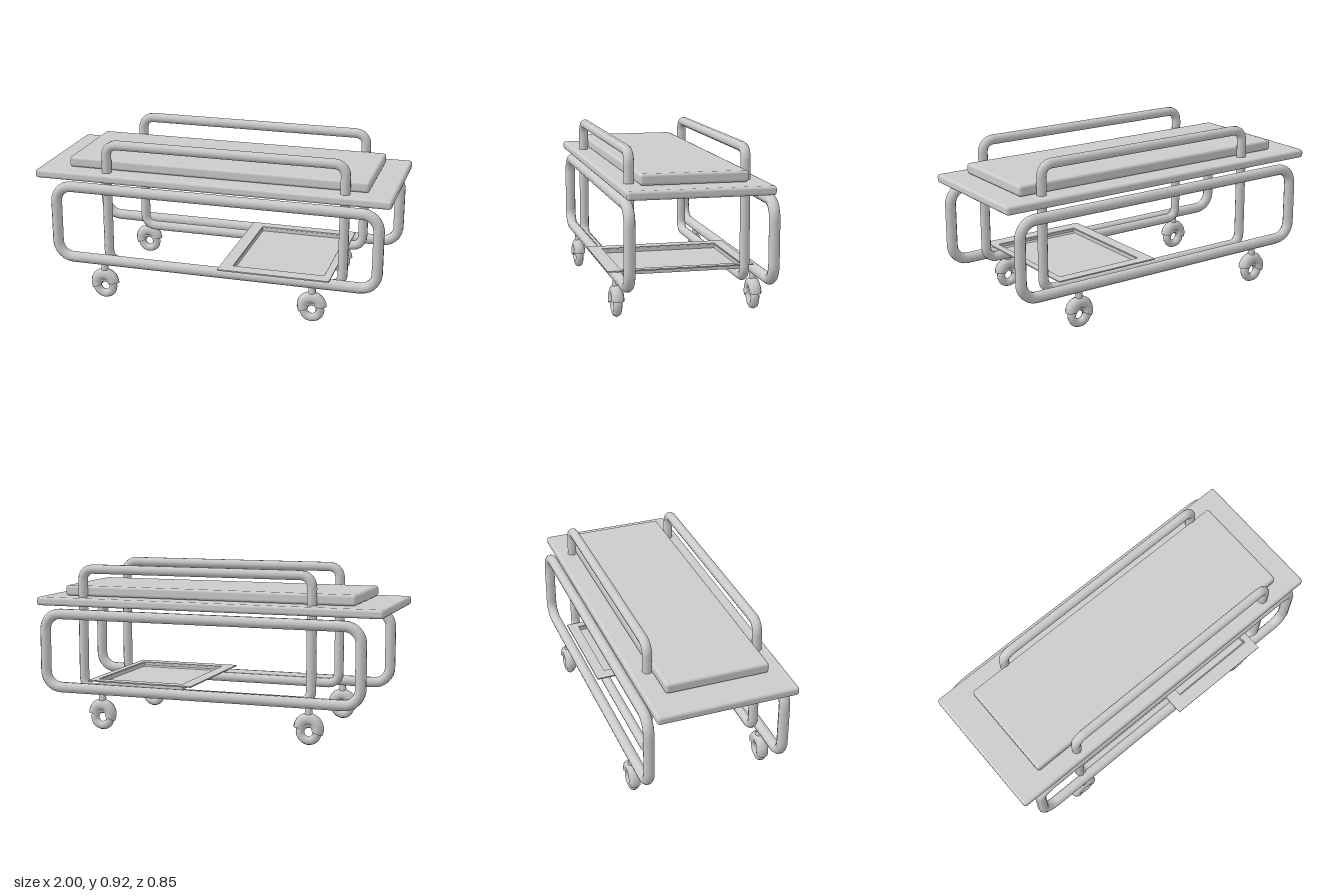
import * as THREE from 'three';
import { RoundedBoxGeometry } from 'three/addons/geometries/RoundedBoxGeometry.js';

const material = new THREE.MeshStandardMaterial({ color: 0xcccccc, side: THREE.DoubleSide });

function add(parent, name, geometry, x = 0, y = 0, z = 0) {
  const mesh = new THREE.Mesh(geometry, material);
  mesh.name = name;
  mesh.position.set(x, y, z);
  parent.add(mesh);
  return mesh;
}

// Rounded rectangle outline in the xy plane
function roundedRect(x0, x1, y0, y1, r) {
  const s = new THREE.Shape();
  s.moveTo(x0 + r, y0);
  s.lineTo(x1 - r, y0);
  s.absarc(x1 - r, y0 + r, r, -Math.PI / 2, 0);
  s.lineTo(x1, y1 - r);
  s.absarc(x1 - r, y1 - r, r, 0, Math.PI / 2);
  s.lineTo(x0 + r, y1);
  s.absarc(x0 + r, y1 - r, r, Math.PI / 2, Math.PI);
  s.lineTo(x0, y0 + r);
  s.absarc(x0 + r, y0 + r, r, Math.PI, Math.PI * 1.5);
  return s;
}

// Closed tube that follows an outline
class OutlineCurve extends THREE.Curve {
  constructor(shape) {
    super();
    this.shape = shape;
  }
  getPoint(t, target = new THREE.Vector3()) {
    const p = this.shape.getPointAt(t);
    return target.set(p.x, p.y, 0);
  }
}

function tubeLoop(x0, x1, y0, y1, corner, radius) {
  const curve = new OutlineCurve(roundedRect(x0, x1, y0, y1, corner));
  return new THREE.TubeGeometry(curve, 200, radius, 10, true);
}

function rectPath(path, x0, x1, y0, y1) {
  path.moveTo(x0, y0);
  path.lineTo(x1, y0);
  path.lineTo(x1, y1);
  path.lineTo(x0, y1);
  path.closePath();
  return path;
}

// Caster: ring-shaped wheel, curved fender with cut ends, swivel stem
function makeCaster() {
  const caster = new THREE.Group();
  caster.name = 'caster';
  add(caster, 'wheel', new THREE.TorusGeometry(0.047, 0.024, 8, 18), 0, 0.075, 0);
  const fender = add(caster, 'fender',
    new THREE.TorusGeometry(0.05, 0.034, 8, 12, Math.PI * 1.13), 0, 0.096, 0);
  fender.rotation.z = 0.05;
  add(caster, 'stem', new THREE.CylinderGeometry(0.017, 0.022, 0.06, 10), 0, 0.195, 0);
  return caster;
}

export function createModel() {
  const model = new THREE.Group();
  model.name = 'stretcher';

  // Deck and mattress
  add(model, 'deck', new RoundedBoxGeometry(2, 0.048, 0.765, 2, 0.016), 0, 0.714, 0.003);
  add(model, 'mattress', new RoundedBoxGeometry(1.695, 0.06, 0.565, 2, 0.016), 0.018, 0.77, 0.008);

  // Outer side frames and inner guard rails
  const frame = tubeLoop(-0.888, 0.937, 0.23, 0.648, 0.09, 0.03);
  const rail = tubeLoop(-0.595, 0.745, 0.217, 0.898, 0.06, 0.027);
  for (const z of [0.36, -0.388]) add(model, 'sideFrame', frame, 0, 0, z);
  for (const z of [0.322, -0.291]) add(model, 'guardRail', rail, 0, 0, z);

  // Casters under the side frames
  for (const x of [-0.61, 0.588]) {
    for (const z of [0.36, -0.388]) {
      const caster = makeCaster();
      caster.position.set(x, 0, z);
      model.add(caster);
    }
  }

  // Lower tray: flat rim, shallow walls and floor
  const tray = new THREE.Group();
  tray.name = 'tray';
  const rimShape = rectPath(new THREE.Shape(), 0.07, 0.69, -0.425, 0.36);
  rimShape.holes.push(rectPath(new THREE.Path(), 0.14, 0.65, -0.35, 0.3));
  const rim = new THREE.ExtrudeGeometry(rimShape, { depth: 0.007, bevelEnabled: false });
  rim.rotateX(-Math.PI / 2);
  add(tray, 'trayRim', rim, 0, 0.267, 0);
  add(tray, 'trayFloor', new THREE.BoxGeometry(0.51, 0.006, 0.65), 0.395, 0.245, 0.025);
  for (const x of [0.141, 0.649]) {
    add(tray, 'traySideWall', new THREE.BoxGeometry(0.004, 0.026, 0.65), x, 0.256, 0.025);
  }
  for (const z of [-0.299, 0.349]) {
    add(tray, 'trayEndWall', new THREE.BoxGeometry(0.51, 0.026, 0.004), 0.395, 0.256, z);
  }
  model.add(tray);

  return model;
}
